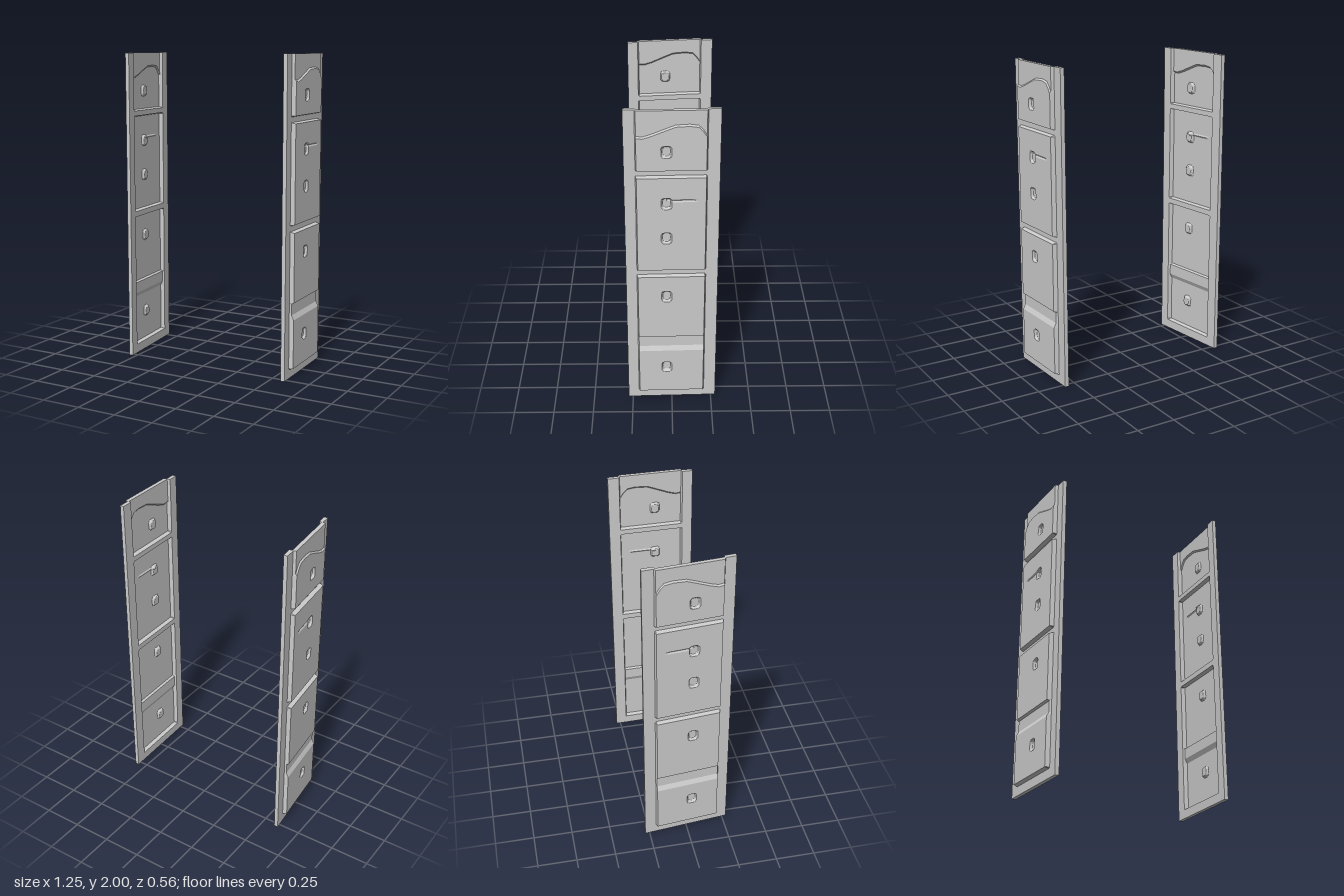
import * as THREE from 'three';

const HALF = 0.278;      // half the width of a sheet
const THICK = 0.026;     // sheet thickness
const RAISE = 0.027;     // height of the pressed plates above the rim
const DENT_Z = 0.032;
const DENTS = [0.25, 0.78, 1.19, 1.42, 1.75];
const PLATES = [[0.058, 0.927], [0.963, 1.592], [1.625, 2.1]];

const ramp = (a, b, t) => Math.min(1, Math.max(0, (t - a) / (b - a)));
const band = (a, b, w, t) => Math.min(ramp(a, a + w, t), ramp(b, b - w, t));

// Upper edge of the top plate, as height over z
const ARCH = [[-0.3, 1.845], [-0.195, 1.85], [-0.175, 1.88], [-0.15, 1.905], [-0.1, 1.912],
  [-0.02, 1.908], [0.04, 1.885], [0.12, 1.853], [0.17, 1.838], [0.2, 1.842], [0.3, 1.845]];
function arch(z) {
  const k = ARCH.findIndex((p) => p[0] >= z);
  const [a, b] = [ARCH[k - 1], ARCH[k]];
  return a[1] + (b[1] - a[1]) * ramp(a[0], b[0], z);
}

// Pressed relief over the rim plane
function relief(z, y) {
  const width = band(-0.205, 0.212, 0.007, z);
  let h = 0;
  for (const [lo, hi] of PLATES) h = Math.max(h, RAISE * Math.min(width, band(lo, hi, 0.007, y)));
  // lower band above the arch
  if (y > 1.8) h = Math.min(h, RAISE - 0.009 * ramp(-0.005, 0.005, y - arch(z)));
  // shallow cross groove in the lowest plate
  h = Math.min(h, RAISE - 0.015 * Math.min(ramp(0.375, 0.405, y), ramp(0.484, 0.476, y)));
  // thin scratch beside an upper dent
  if (z < DENT_Z && z > -0.15) h -= 0.006 * band(1.43, 1.45, 0.01, y) * ramp(-0.15, -0.12, z);
  // rounded square dents
  for (const d of DENTS) {
    const r = Math.pow(((z - DENT_Z) / 0.031) ** 4 + ((y - d) / 0.036) ** 4, 0.25);
    h -= 0.016 * ramp(1, 0.75, r);
  }
  return h;
}

const sortedUnique = (list) => [...new Set(list.map((v) => +v.toFixed(4)))].sort((a, b) => a - b);

// Grid lines placed where the relief bends
function gridLines() {
  const cols = [-HALF, HALF, -0.205, -0.198, 0.205, 0.212];
  for (let z = -0.18; z < 0.2; z += 0.02) cols.push(z);
  for (const p of ARCH) if (Math.abs(p[0]) < HALF) cols.push(p[0]);
  const rows = [0, 0.375, 0.405, 0.476, 0.484, 1.43, 1.44, 1.45];
  for (const [lo, hi] of PLATES) {
    rows.push(lo, lo + 0.007);
    if (hi < 2) rows.push(hi - 0.007, hi);
  }
  for (let k = -8; k <= 8; k++) {
    cols.push(DENT_Z + k * 0.004);
    for (const d of DENTS) rows.push(d + k * 0.0047);
  }
  const rowFns = sortedUnique(rows).map((y) => () => y);
  rowFns.push((z) => arch(z) - 0.005, (z) => arch(z) + 0.005, () => 2);
  return { cols: sortedUnique(cols), rowFns };
}

// Sheet of even thickness following the relief; side = +1 left, -1 right
function sheetGeometry(side, x0, slope) {
  const { cols, rowFns } = gridLines();
  const nc = cols.length, nr = rowFns.length, count = nc * nr;
  const pos = [], idx = [];
  for (const inset of [0, THICK]) {
    for (const row of rowFns) {
      for (const z of cols) {
        const y = row(z);
        pos.push(side * (x0 + slope * z + relief(z, y) - inset), y, z);
      }
    }
  }
  const quad = (a, b, c, d) => {
    if (side > 0) idx.push(a, b, c, a, c, d);
    else idx.push(a, c, b, a, d, c);
  };
  for (let j = 0; j < nr - 1; j++) {
    for (let i = 0; i < nc - 1; i++) {
      const a = j * nc + i, b = a + nc;
      quad(a, b, b + 1, a + 1);
      quad(count + a, count + a + 1, count + b + 1, count + b);
    }
  }
  // closing edge around the border
  const loop = [];
  for (let j = 0; j < nr - 1; j++) loop.push(j * nc);
  for (let i = 0; i < nc - 1; i++) loop.push((nr - 1) * nc + i);
  for (let j = nr - 1; j > 0; j--) loop.push(j * nc + nc - 1);
  for (let i = nc - 1; i > 0; i--) loop.push(i);
  loop.forEach((p, k) => {
    const q = loop[(k + 1) % loop.length];
    quad(p, count + p, count + q, q);
  });
  const geo = new THREE.BufferGeometry();
  geo.setAttribute('position', new THREE.Float32BufferAttribute(pos, 3));
  geo.setIndex(idx);
  geo.computeVertexNormals();
  return geo;
}

export function createModel() {
  const group = new THREE.Group();
  group.name = 'pressedPanelPair';
  const material = new THREE.MeshStandardMaterial({ color: 0xcccccc, flatShading: true });
  // The two sheets lean by slightly different angles
  for (const [name, side, x0, slope] of [['leftPanel', 1, 0.586, 0.028], ['rightPanel', -1, 0.579, -0.104]]) {
    const mesh = new THREE.Mesh(sheetGeometry(side, x0, slope), material);
    mesh.name = name;
    group.add(mesh);
  }
  return group;
}
